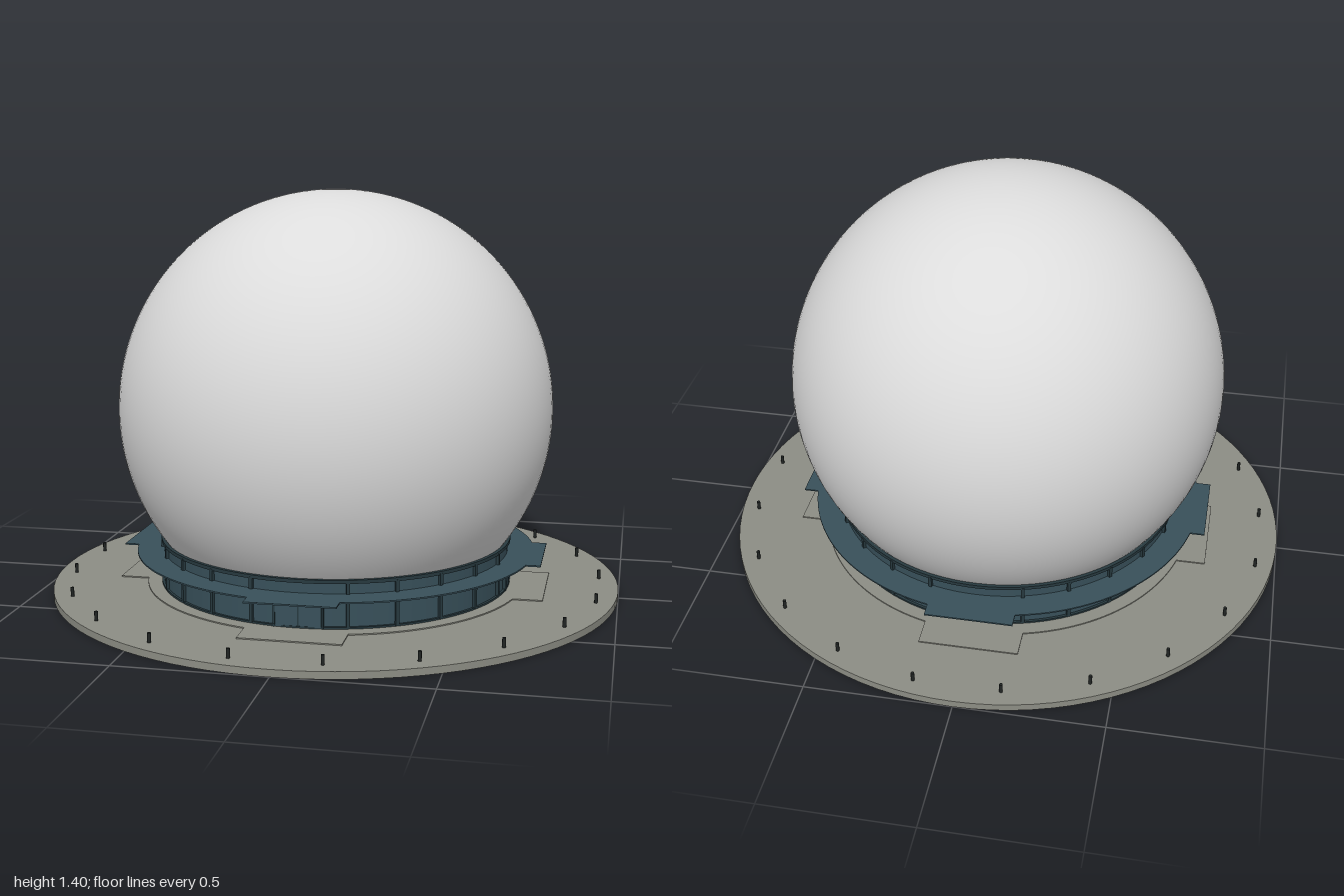
import * as THREE from 'three';

export function createModel() {
  const model = new THREE.Group();
  const mat = (name, color) => {
    const m = new THREE.MeshStandardMaterial({ color });
    m.name = name;
    return m;
  };
  const shell = mat('pale grey shell', 0xdcdcdc);
  const concrete = mat('concrete grey', 0x8c8d84);
  const steel = mat('blue grey steel', 0x38505a);
  const darkSteel = mat('dark steel', 0x27393f);
  const postDark = mat('post black', 0x202423);

  const add = (name, geometry, material, parent = model) => {
    const mesh = new THREE.Mesh(geometry, material);
    mesh.name = name;
    parent.add(mesh);
    return mesh;
  };
  // Place a mesh at a radius and angle, facing outwards
  const around = (mesh, angle, radius, y) => {
    mesh.position.set(Math.sin(angle) * radius, y, Math.cos(angle) * radius);
    mesh.rotation.y = angle;
    return mesh;
  };
  // Square-edged ring turned about the vertical axis
  const ring = (inner, outer, y0, y1) => {
    const shape = new THREE.Shape().absarc(0, 0, outer, 0, Math.PI * 2);
    shape.holes.push(new THREE.Path().absarc(0, 0, inner, 0, Math.PI * 2, true));
    return new THREE.ExtrudeGeometry(shape, { depth: y1 - y0, bevelEnabled: false, curveSegments: 72 })
      .rotateX(-Math.PI / 2).translate(0, y0, 0);
  };

  // Ground slab and low apron
  add('baseSlab', new THREE.CylinderGeometry(1, 1, 0.024, 96).translate(0, 0.012, 0), concrete);
  add('apron', ring(0.6, 0.67, 0.02, 0.028), concrete);

  // Spherical dome, cut off where it enters the drum
  const dome = add('dome', new THREE.SphereGeometry(0.76, 96, 64, 0, Math.PI * 2, 0, 2.23), shell);
  dome.position.y = 0.645;

  // Drum wall with rims
  add('drumWall', ring(0.59, 0.612, 0.024, 0.186), steel);
  add('upperRim', ring(0.6, 0.621, 0.178, 0.19), darkSteel);
  add('lowerRim', ring(0.6, 0.621, 0.024, 0.034), darkSteel);

  // Wall ribs
  const ribs = new THREE.Group();
  ribs.name = 'drumRibs';
  model.add(ribs);
  const ribGeometry = new THREE.BoxGeometry(0.012, 0.154, 0.014);
  for (let i = 0; i < 24; i++) {
    if (i % 6 === 0) continue;
    around(add('drumRib', ribGeometry, darkSteel, ribs), i * Math.PI / 12, 0.615, 0.106);
  }

  // Walkway
  add('walkway', ring(0.605, 0.705, 0.138, 0.143), steel);

  // Door, landing and ground pad on each of the four sides
  for (let i = 0; i < 4; i++) {
    const angle = i * Math.PI / 2;
    const side = new THREE.Group();
    side.name = 'entrance';
    side.rotation.y = angle;
    model.add(side);
    add('landing', new THREE.BoxGeometry(0.3, 0.005, 0.12).translate(0, 0.1405, 0.68), steel, side);
    add('groundPad', new THREE.BoxGeometry(0.34, 0.008, 0.15).translate(0, 0.024, 0.675), concrete, side);
    for (const x of [-0.039, 0.039]) {
      add('doorLeaf', new THREE.BoxGeometry(0.074, 0.105, 0.009).translate(x, 0.083, 0.614), steel, side);
    }
    for (const x of [-0.08, 0.08]) {
      add('doorJamb', new THREE.BoxGeometry(0.006, 0.11, 0.012).translate(x, 0.083, 0.612), darkSteel, side);
    }
    add('doorSeam', new THREE.BoxGeometry(0.004, 0.105, 0.008).translate(0, 0.083, 0.616), darkSteel, side);
  }

  // Perimeter posts
  const posts = new THREE.Group();
  posts.name = 'perimeterPosts';
  model.add(posts);
  const postGeometry = new THREE.CylinderGeometry(0.006, 0.006, 0.034, 10);
  for (let i = 0; i < 20; i++) {
    around(add('perimeterPost', postGeometry, postDark, posts), (i + 0.5) * Math.PI / 10, 0.94, 0.039);
  }
  return model;
}
